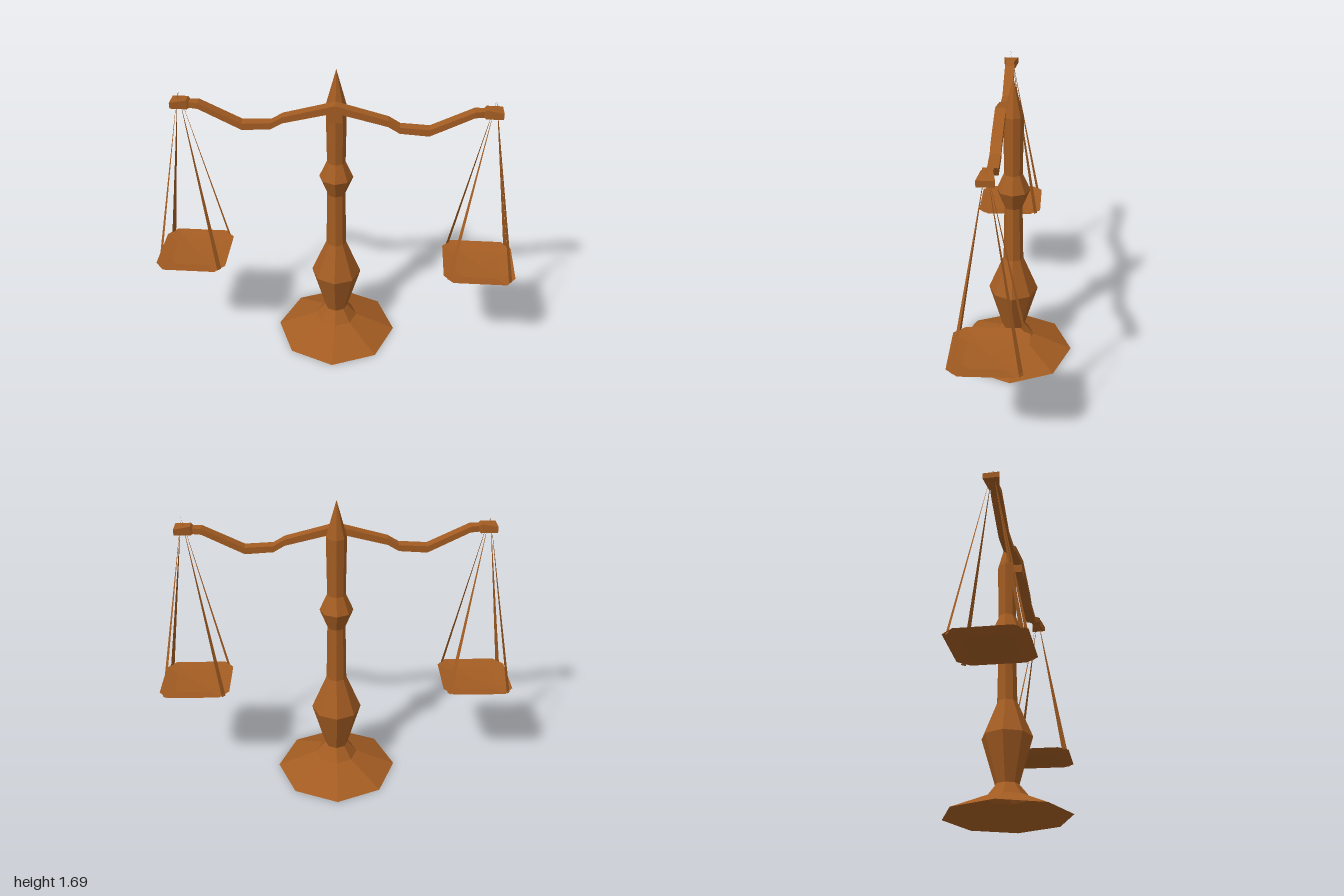
import * as THREE from 'three';

const wood = new THREE.MeshStandardMaterial({ color: 0xa35c22, flatShading: true });
const woodThin = new THREE.MeshStandardMaterial({ color: 0xa35c22, flatShading: true, side: THREE.DoubleSide });
const ARM_Z = 0.067;

function addMesh(parent, name, geometry, material) {
  const mesh = new THREE.Mesh(geometry, material);
  mesh.name = name;
  parent.add(mesh);
  return mesh;
}

// Eight-sided turned post with a flared, hollow foot
function columnGeometry() {
  const profile = [
    [0.345, 0], [0.12, 0.1], [0.065, 0.17], [0.14, 0.43], [0.056, 0.635], [0.05, 0.96],
    [0.092, 1.065], [0.05, 1.16], [0.055, 1.49], [0, 1.69],
  ].map(([r, y]) => new THREE.Vector2(r, y));
  return new THREE.LatheGeometry(profile, 8);
}

// Wavy beam: a segmented box whose slices follow [x, centre y, half height, half depth]
function beamGeometry() {
  const half = [
    [0.27, 1.441, 0.017, 0.028], [0.33, 1.405, 0.017, 0.028], [0.48, 1.396, 0.018, 0.028],
    [0.7, 1.506, 0.016, 0.028], [0.745, 1.508, 0.016, 0.022], [0.755, 1.51, 0.025, 0.027],
    [0.84, 1.51, 0.016, 0.043],
  ];
  const mirrored = half.map(([x, ...rest]) => [-x, ...rest]).reverse();
  const slices = [...mirrored, [0, 1.511, 0.02, 0.028], ...half];
  const n = slices.length - 1;
  const geometry = new THREE.BoxGeometry(1, 1, 1, n, 1, 1);
  const p = geometry.attributes.position;
  for (let i = 0; i < p.count; i++) {
    const [x, y, hy, hz] = slices[Math.round((p.getX(i) + 0.5) * n)];
    p.setXYZ(i, x, y + 2 * hy * p.getY(i), 2 * hz * p.getZ(i));
  }
  geometry.computeVertexNormals();
  return geometry;
}

// Shallow square dish with clipped corners, made of shrinking rings
function panGeometry() {
  const a = 0.195, b = 0.135;
  const outline = [[a, b], [b + 0.01, a], [-b - 0.01, a], [-a, b], [-a, -b], [-b - 0.01, -a], [b + 0.01, -a], [a, -b]];
  const rings = [[1, 0.58], [0.62, 0.567], [0, 0.559]];
  const positions = [], index = [], n = outline.length;
  for (const [s, y] of rings) for (const [x, z] of outline) positions.push(x * s, y - 0.02 * z * s, z * s);
  for (let r = 0; r < rings.length - 1; r++) {
    for (let i = 0; i < n; i++) {
      const p = r * n + i, q = r * n + (i + 1) % n;
      index.push(p, p + n, q);
      if (r < rings.length - 2) index.push(q, p + n, q + n);
    }
  }
  const geometry = new THREE.BufferGeometry();
  geometry.setAttribute('position', new THREE.Float32BufferAttribute(positions, 3));
  geometry.setIndex(index);
  geometry.computeVertexNormals();
  return geometry;
}

// Flat ribbon tapering to a point above the beam end
function cordGeometry() {
  const geometry = new THREE.BufferGeometry();
  const w = 0.013, r = 0.235;
  geometry.setAttribute('position', new THREE.Float32BufferAttribute([r, 0.572, w, r, 0.572, -w, 0, 1.58, 0], 3));
  geometry.computeVertexNormals();
  return geometry;
}

export function createModel() {
  const group = new THREE.Group();
  group.name = 'balanceScale';

  addMesh(group, 'column', columnGeometry(), woodThin);
  addMesh(group, 'beam', beamGeometry(), wood).position.z = ARM_Z;
  addMesh(group, 'beamBracket', new THREE.BoxGeometry(0.075, 0.07, 0.075), wood).position.set(0, 1.468, 0.055);

  // Hanging pans, one at each beam end
  for (const side of [1, -1]) {
    const hanger = new THREE.Group();
    hanger.name = side > 0 ? 'leftPanHanger' : 'rightPanHanger';
    hanger.position.set(side * 0.8, 0, ARM_Z);
    addMesh(hanger, 'pan', panGeometry(), woodThin);
    for (let i = 0; i < 4; i++) {
      addMesh(hanger, 'cord', cordGeometry(), woodThin).rotation.y = Math.PI / 4 + i * Math.PI / 2;
    }
    group.add(hanger);
  }

  // Slight turn of the whole scale on its foot
  group.rotation.y = 0.028;
  return group;
}
